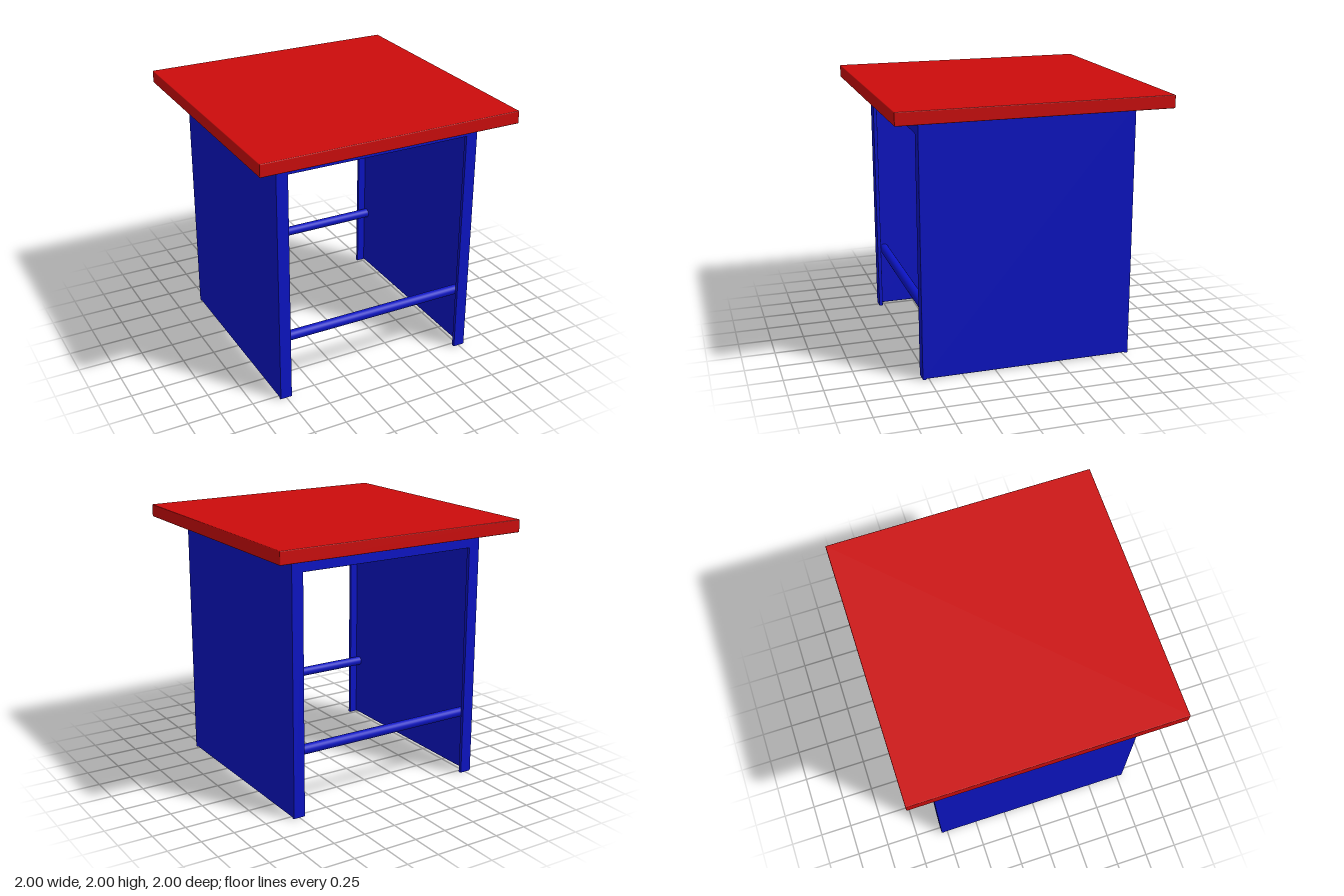
import * as THREE from 'three';
import { RoundedBoxGeometry } from 'three/addons/geometries/RoundedBoxGeometry.js';

const red = new THREE.MeshStandardMaterial({ color: 0xcc0c0c });
const blue = new THREE.MeshStandardMaterial({ color: 0x0c14c4 });

export function createModel() {
  const model = new THREE.Group();
  model.name = 'table';

  const add = (name, geometry, material, x, y, z) => {
    const mesh = new THREE.Mesh(geometry, material);
    mesh.name = name;
    mesh.position.set(x, y, z);
    model.add(mesh);
    return mesh;
  };
  const box = (w, h, d) => new RoundedBoxGeometry(w, h, d, 2, 0.006);

  // Square top, overhanging the base on all sides
  add('tabletop', box(2, 0.095, 2), red, 0, 1.9525, 0);

  // Thin sheet under the top
  add('topSheet', box(1.59, 0.03, 1.59), blue, 0, 1.89, 0);

  // Thin side sheets
  for (const [side, s] of [['left', 1], ['right', -1]]) {
    add(side + 'SidePanel', box(0.03, 1.9, 1.59), blue, s * 0.783, 0.955, 0);
  }

  // Upside-down U frame: two legs joined by a top rail
  const u = new THREE.Shape([
    [-0.792, 0.006], [-0.712, 0.006], [-0.712, 1.791], [0.712, 1.791],
    [0.712, 0.006], [0.792, 0.006], [0.792, 1.899], [-0.792, 1.899],
  ].map(([x, y]) => new THREE.Vector2(x, y)));
  const frame = new THREE.ExtrudeGeometry(u, {
    depth: 0.018, bevelEnabled: true, bevelSize: 0.006, bevelThickness: 0.006, bevelSegments: 2,
  });
  frame.translate(0, 0, -0.009);

  // Frames and round stretchers at both open ends
  const rod = new THREE.CylinderGeometry(0.037, 0.037, 1.56, 24).rotateZ(Math.PI / 2);
  for (const [end, s] of [['front', 1], ['back', -1]]) {
    add(end + 'Frame', frame, blue, 0, 0, s * 0.783);
    add(end + 'Stretcher', rod, blue, 0, 0.485, s * 0.731);
  }

  // Stand exactly on the ground
  const bounds = new THREE.Box3().setFromObject(model);
  for (const part of model.children) part.position.y -= bounds.min.y;
  return model;
}
